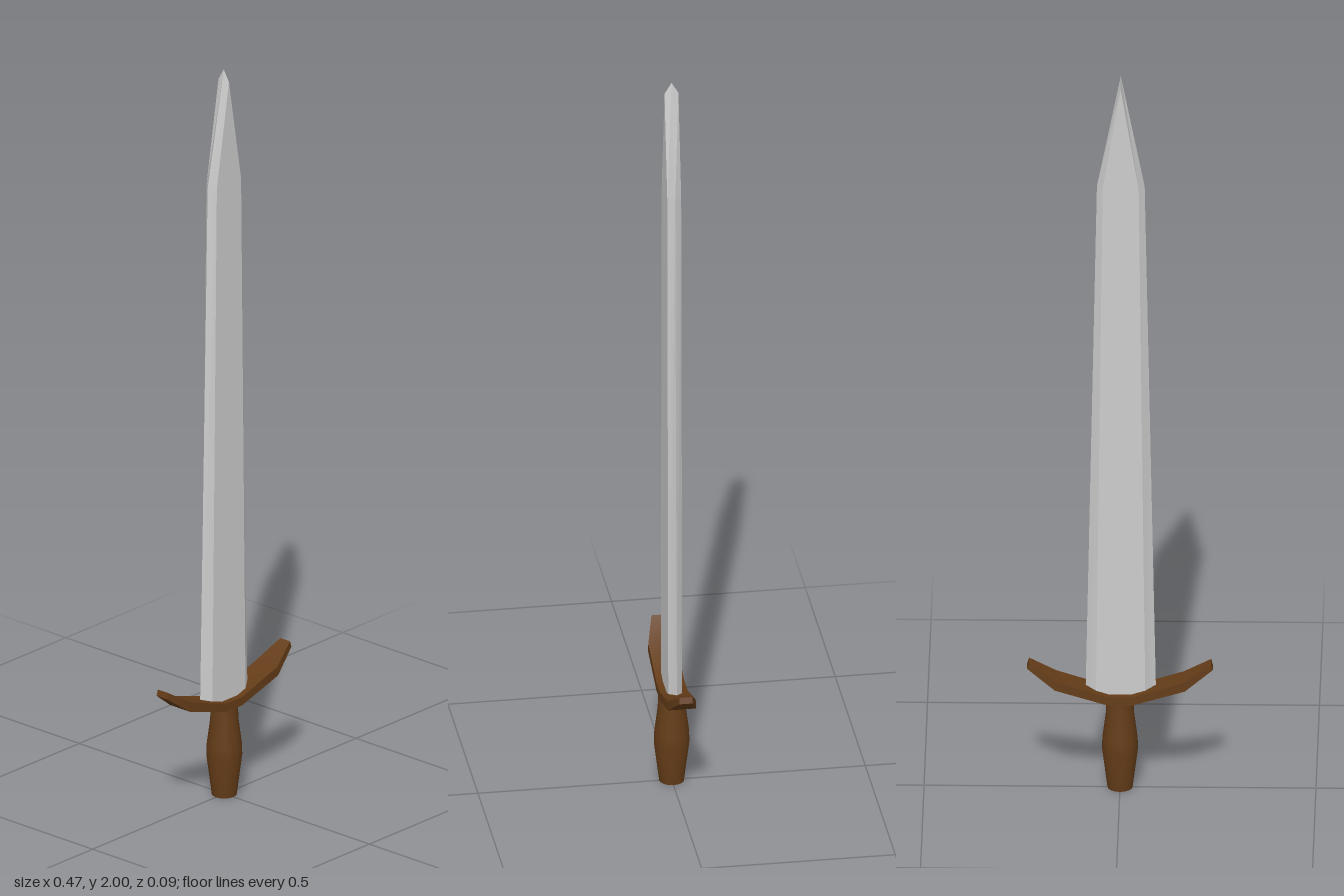
import * as THREE from 'three';
import { toCreasedNormals } from 'three/addons/utils/BufferGeometryUtils.js';

// Skin a list of equal-length rings of Vector3 and close both ends.
function loft(rings, crease) {
  const pos = [];
  const tri = (a, b, c) => {
    if (new THREE.Triangle(a, b, c).getArea() < 1e-7) return;
    for (const p of [a, b, c]) pos.push(p.x, p.y, p.z);
  };
  const n = rings[0].length;
  for (let i = 0; i < rings.length - 1; i++) {
    const lo = rings[i], hi = rings[i + 1];
    for (let j = 0; j < n; j++) {
      const k = (j + 1) % n;
      tri(lo[j], lo[k], hi[k]);
      tri(lo[j], hi[k], hi[j]);
    }
  }
  const first = rings[0], last = rings[rings.length - 1];
  for (let j = 1; j < n - 1; j++) {
    tri(first[0], first[j + 1], first[j]);
    tri(last[0], last[j], last[j + 1]);
  }
  const geo = new THREE.BufferGeometry();
  geo.setAttribute('position', new THREE.Float32BufferAttribute(pos, 3));
  return toCreasedNormals(geo, crease);
}

export function createModel() {
  const group = new THREE.Group();
  const steel = new THREE.MeshStandardMaterial({ color: 0xcccccc });
  const wood = new THREE.MeshStandardMaterial({ color: 0x643c18 });
  const add = (name, geo, mat) => {
    const mesh = new THREE.Mesh(geo, mat);
    mesh.name = name;
    group.add(mesh);
    return mesh;
  };

  // Blade: six-sided section, flats closing to a short ridge below the point
  const t = 0.018;
  const section = (w, yEdge, f, yFlat) => [
    [w, yEdge, 0], [f, yFlat, -t], [-f, yFlat, -t],
    [-w, yEdge, 0], [-f, yFlat, t], [f, yFlat, t],
  ].map((p) => new THREE.Vector3(...p));
  const blade = add('blade', loft([
    section(0.09, 0.26, 0.063, 0.26),
    section(0.061, 1.69, 0.046, 1.69),
    section(0, 2, 0, 1.97),
  ], 0.3), steel);
  blade.position.x = -0.002;

  // Crossguard: upswept bar, mirrored left to right [x, bottom, top, half depth]
  const half = [
    [0.03, 0.245, 0.268, 0.036],
    [0.166, 0.286, 0.31, 0.036],
    [0.237, 0.338, 0.354, 0.017],
  ];
  const stations = [...half.map(([x, ...r]) => [-x, ...r]).reverse(), ...half];
  const guard = add('crossguard', loft(stations.map(([x, b, top, d]) => {
    const lean = 0.02 * x; // end faces tilt with the sweep
    return [[x - lean, top, -d], [x - lean, top, d], [x, b, d], [x, b, -d]]
      .map((p) => new THREE.Vector3(...p));
  }), 0.6), wood);
  guard.position.z = -0.001;

  // Grip: turned handle swelling at the middle
  const profile = [[0, 0], [0.032, 0], [0.046, 0.11], [0.045, 0.14], [0.036, 0.21], [0.035, 0.255], [0, 0.255]]
    .map(([r, y]) => new THREE.Vector2(r, y));
  add('grip', toCreasedNormals(new THREE.LatheGeometry(profile, 16), 0.7), wood);

  return group;
}
